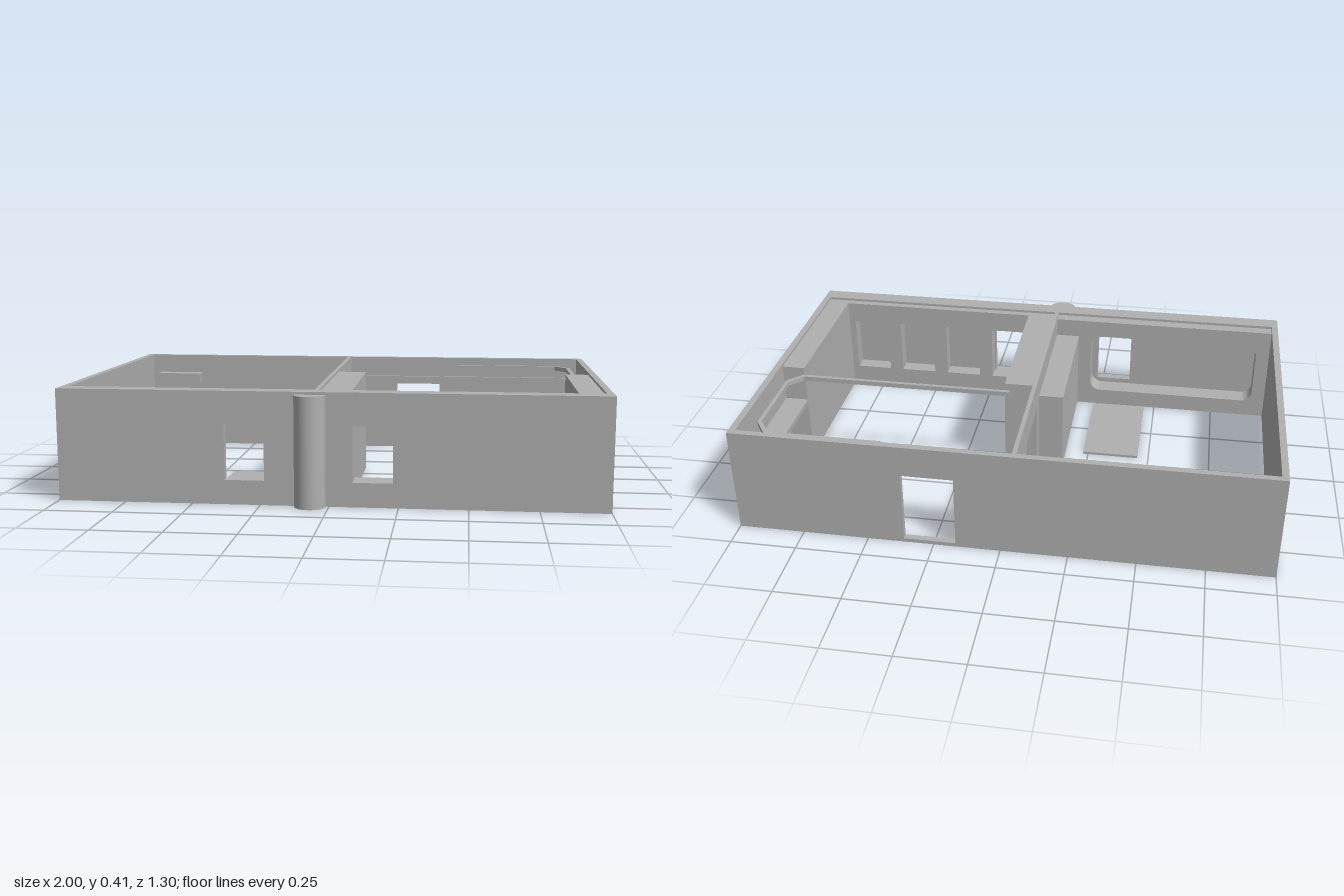
import * as THREE from 'three';

const grey = new THREE.MeshStandardMaterial({ color: 0xb0b0b0 });
grey.name = 'plaster grey';

// Traces a rectangle, with optional rounded corners
function trace(path, x0, x1, y0, y1, r = 0) {
  if (!r) {
    path.moveTo(x0, y0).lineTo(x1, y0).lineTo(x1, y1).lineTo(x0, y1).closePath();
    return path;
  }
  path.moveTo(x0 + r, y0);
  path.absarc(x1 - r, y0 + r, r, -Math.PI / 2, 0);
  path.absarc(x1 - r, y1 - r, r, 0, Math.PI / 2);
  path.absarc(x0 + r, y1 - r, r, Math.PI / 2, Math.PI);
  path.absarc(x0 + r, y0 + r, r, Math.PI, Math.PI * 1.5);
  return path;
}

export function createModel() {
  const model = new THREE.Group();
  model.name = 'twoRoomBuilding';

  const add = (name, geometry) => {
    const mesh = new THREE.Mesh(geometry, grey);
    mesh.name = name;
    model.add(mesh);
    return mesh;
  };
  const box = (name, x0, x1, y0, y1, z0, z1) => {
    const mesh = add(name, new THREE.BoxGeometry(x1 - x0, y1 - y0, z1 - z0));
    mesh.position.set((x0 + x1) / 2, (y0 + y1) / 2, (z0 + z1) / 2);
    return mesh;
  };
  // Upright plate facing z, with openings given as [x0, x1, y0, y1, radius]
  const plate = (name, x0, x1, y1, z0, z1, holes) => {
    const shape = trace(new THREE.Shape(), x0, x1, 0, y1);
    holes.forEach((h) => shape.holes.push(trace(new THREE.Path(), ...h)));
    const geometry = new THREE.ExtrudeGeometry(shape, { depth: z1 - z0, bevelEnabled: false, curveSegments: 8 });
    return add(name, geometry.translate(0, 0, z0));
  };

  const H = 0.415, L = 0.405;

  // Openings of the front wall
  const windows = [[-0.38, -0.235, 0.09, 0.295], [0.085, 0.23, 0.09, 0.295]];
  const leftNiche = [-0.92, -0.21, 0.07, 0.335, 0.045];
  const rightNiches = [0, 1, 2, 3].map((i) => [0.085 + i * 0.208, 0.235 + i * 0.208, 0.09, 0.32]);

  // Outer walls
  plate('frontWall', -1, 1, H, 0.555, 0.59, windows);
  plate('frontWallCore', -1, 1, H, 0.522, 0.555, [leftNiche, ...rightNiches]);
  plate('frontLiningWest', -0.975, -0.059, L, 0.476, 0.522, [leftNiche]);
  plate('frontLiningEast', -0.043, 0.975, L, 0.493, 0.522, rightNiches);
  plate('backWall', -1, 1, H, -0.65, -0.625, [[0.167, 0.362, 0.015, 0.295]]);
  for (const s of [-1, 1]) {
    box('sideWall', Math.min(s, s * 0.975), Math.max(s, s * 0.975), 0, H, -0.625, 0.522);
  }

  // Half round column on the front wall
  const column = add('frontColumn', new THREE.CylinderGeometry(0.057, 0.057, L, 40));
  column.position.set(-0.068, L / 2, 0.593);

  // Dividing wall with a doorway
  box('dividerBack', -0.059, -0.043, 0, H, -0.625, -0.39);
  box('dividerLintel', -0.059, -0.043, 0.31, H, -0.39, -0.12);
  box('dividerFront', -0.059, -0.043, 0, H, -0.12, 0.522);

  // Tall built-in blocks
  box('cabinetWest', -0.155, -0.059, 0, 0.33, -0.065, 0.476);
  box('cabinetEast', -0.043, 0.07, 0, L, -0.12, 0.493);
  box('sideWallLining', 0.885, 0.975, 0, L, -0.12, 0.493);

  // Fittings of the west room
  box('floorPlate', -0.455, -0.23, 0, 0.01, 0.05, 0.45);
  box('cornerBench', -0.975, -0.735, 0.03, 0.16, -0.625, -0.435);
  box('cornerStool', -0.975, -0.905, 0.03, 0.11, -0.435, -0.375);
  box('wallUnit', -0.94, -0.745, 0.29, 0.335, -0.625, -0.57);

  // L-shaped shelf with a rounded end, drawn in plan with -z up
  const plan = new THREE.Shape();
  plan.moveTo(0.975, 0.12).lineTo(0.975, 0.625).lineTo(0.42, 0.625).lineTo(0.42, 0.595);
  plan.absarc(0.475, 0.595, 0.055, Math.PI, Math.PI * 1.5);
  plan.lineTo(0.885, 0.54).lineTo(0.885, 0.12).closePath();
  const shelf = new THREE.ExtrudeGeometry(plan, { depth: 0.02, bevelEnabled: false, curveSegments: 10 });
  add('cornerShelf', shelf.rotateX(-Math.PI / 2).translate(0, 0.24, 0));

  // Curtain rail running round the bed space
  const rail = [[0.05, -0.147], [0.88, -0.147], [0.928, -0.2], [0.928, -0.51], [0.88, -0.582], [0.45, -0.582]];
  for (let i = 0; i < rail.length - 1; i++) {
    const [ax, az] = rail[i], [bx, bz] = rail[i + 1];
    const length = Math.hypot(bx - ax, bz - az);
    const bar = add('curtainRail', new THREE.BoxGeometry(length + 0.006, 0.018, 0.015));
    bar.position.set((ax + bx) / 2, 0.378, (az + bz) / 2);
    bar.rotation.y = -Math.atan2(bz - az, bx - ax);
  }
  return model;
}
